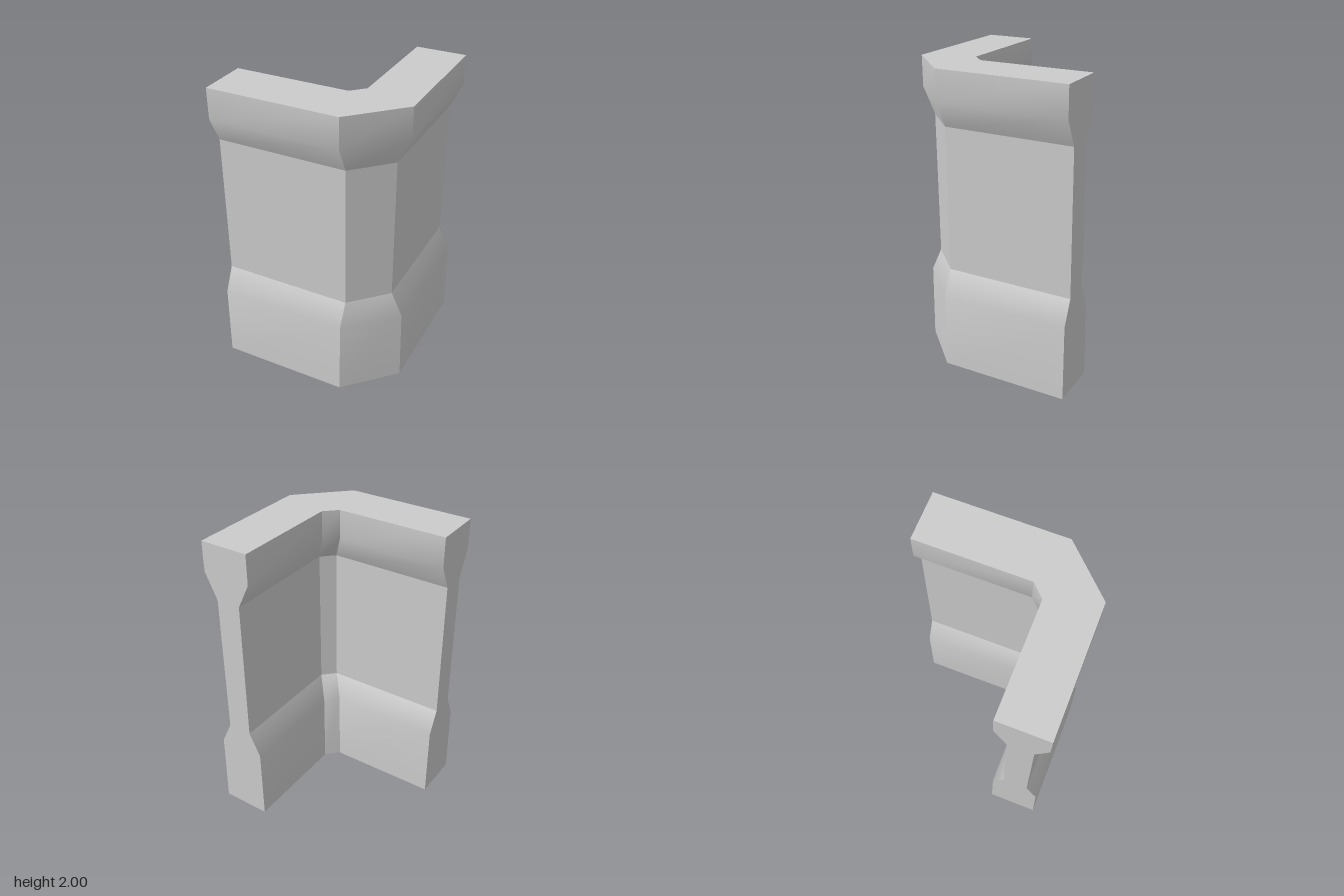
import * as THREE from 'three';
import { mergeGeometries } from 'three/addons/utils/BufferGeometryUtils.js';

const END = 0.583; // where the two wall arms stop

// Levels: height, outer face offset, inner face offset
const FOOT = [0, 0.583, 0.25];
const FOOT_TOP = [0.51, 0.575, 0.255];
const WAIST_LOW = [0.67, 0.5, 0.333];
const WAIST_HIGH = [1.63, 0.5, 0.333];
const CAP_LOW = [1.8, 0.583, 0.25];
const CAP_TOP = [2, 0.583, 0.25];

// Plan of the L-shaped wall at one level, from the left arm round to the back arm
const outer = ([y, o]) => [[-END, y, o], [0.277, y, o], [o, y, 0.277], [o, y, -END]];
const inner = ([y, , i]) => [[-END, y, i], [i - 0.082, y, i], [i, y, i - 0.082], [i, y, -END]];

// Skin over rows of points (low row first, left to right seen from outside);
// smooth up each column, sharp between columns
function skin(rows) {
  const strips = [];
  for (let c = 0; c < rows[0].length - 1; c++) {
    const position = [], index = [];
    rows.forEach((row, r) => {
      position.push(...row[c], ...row[c + 1]);
      if (r > 0) {
        const a = 2 * r - 2;
        index.push(a, a + 1, a + 3, a, a + 3, a + 2);
      }
    });
    const g = new THREE.BufferGeometry();
    g.setAttribute('position', new THREE.Float32BufferAttribute(position, 3));
    g.setIndex(index);
    g.computeVertexNormals();
    strips.push(g);
  }
  return mergeGeometries(strips);
}

export function createModel() {
  const group = new THREE.Group();
  const material = new THREE.MeshStandardMaterial({ color: 0xcccccc });

  const addPart = (name, levels, extra = []) => {
    const geometry = mergeGeometries([
      skin(levels.map(outer)),                                    // outside faces
      skin(levels.map((l) => inner(l).reverse())),                // inside faces
      skin(levels.map((l) => [inner(l)[0], outer(l)[0]])),        // end of left arm
      skin(levels.map((l) => [outer(l)[3], inner(l)[3]])),        // end of back arm
      ...extra,
    ]);
    const mesh = new THREE.Mesh(geometry, material);
    mesh.name = name;
    group.add(mesh);
  };

  const underside = skin([inner(FOOT), outer(FOOT)]);
  const topFace = skin([outer(CAP_TOP), inner(CAP_TOP)]);

  addPart('wallBase', [FOOT, FOOT_TOP, WAIST_LOW], [underside]);
  addPart('wallMiddle', [WAIST_LOW, WAIST_HIGH]);
  addPart('wallCap', [WAIST_HIGH, CAP_LOW, CAP_TOP], [topFace]);
  return group;
}
